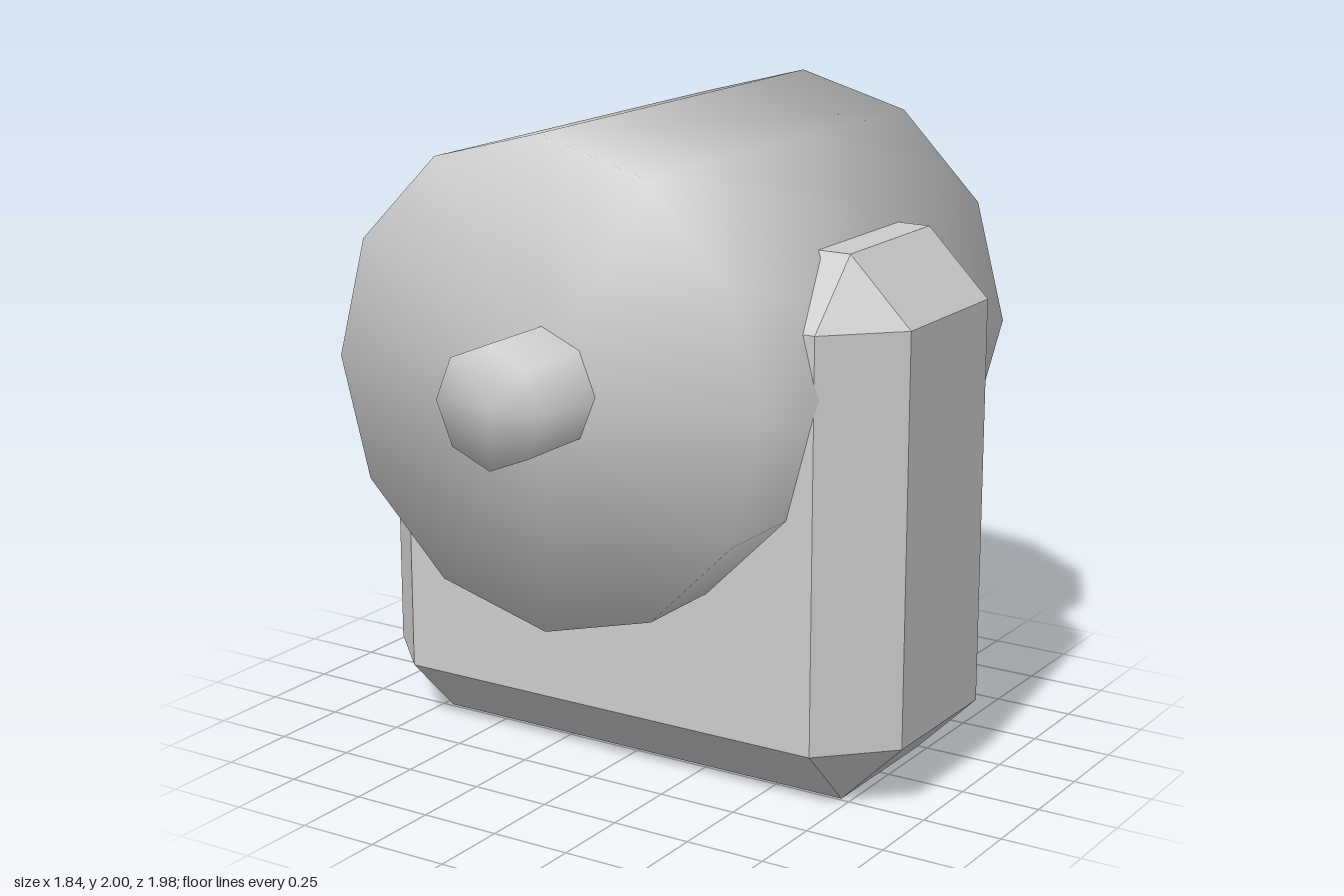
import * as THREE from 'three';
import { ConvexGeometry } from 'three/addons/geometries/ConvexGeometry.js';

// Box with every edge cut at 45 degrees, given by half sizes and cut depth
function chamferedBox(hx, hy, hz, c) {
  const points = [];
  for (const x of [-1, 1]) for (const y of [-1, 1]) for (const z of [-1, 1]) {
    points.push(
      new THREE.Vector3(x * hx, y * (hy - c), z * (hz - c)),
      new THREE.Vector3(x * (hx - c), y * hy, z * (hz - c)),
      new THREE.Vector3(x * (hx - c), y * (hy - c), z * hz));
  }
  return new ConvexGeometry(points);
}

// Cylinder along z whose shading flows smoothly over the rims into the caps
function softCylinder(radius, length, sides) {
  const geometry = new THREE.CylinderGeometry(radius, radius, length, sides);
  const pos = geometry.attributes.position;
  const normal = geometry.attributes.normal;
  const radial = Math.cos(Math.PI / sides) / radius;
  const axial = 1 - 2 / sides;
  const n = new THREE.Vector3();
  for (let i = 0; i < pos.count; i++) {
    n.set(pos.getX(i) * radial, Math.sign(pos.getY(i)) * axial, pos.getZ(i) * radial).normalize();
    normal.setXYZ(i, n.x, n.y, n.z);
  }
  return geometry.rotateX(Math.PI / 2);
}

export function createModel() {
  const group = new THREE.Group();
  const grey = new THREE.MeshStandardMaterial({ color: 0xcccccc });
  grey.name = 'light grey';

  const add = (name, geometry, y) => {
    const mesh = new THREE.Mesh(geometry, grey);
    mesh.name = name;
    mesh.position.y = y;
    group.add(mesh);
  };

  // Upright block carrying the drum
  add('base', chamferedBox(0.918, 0.826, 0.438, 0.198), 0.826);
  // Wide drum and the axle running through it
  add('drum', softCylinder(0.732, 1.466, 12), 1.268);
  add('axle', softCylinder(0.182, 1.98, 8), 1.268);

  return group;
}
